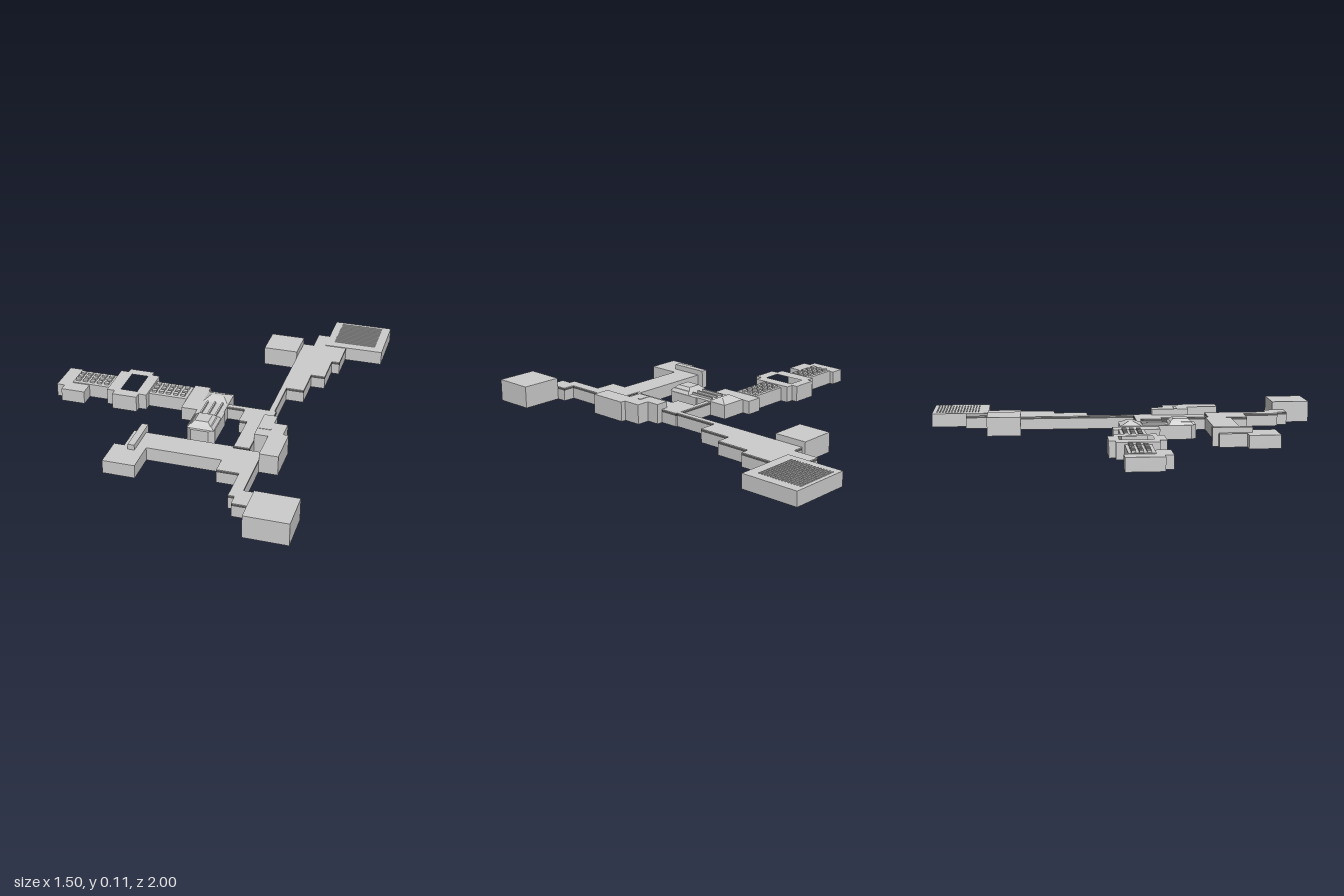
import * as THREE from 'three';

const grey = new THREE.MeshStandardMaterial({ color: 0xcccccc, flatShading: true });
const dark = new THREE.MeshStandardMaterial({ color: 0x555555, flatShading: true });

// Box given by its limits
function block(parent, name, [x0, x1, z0, z1], y1, y0 = 0, material = grey) {
  const mesh = new THREE.Mesh(new THREE.BoxGeometry(x1 - x0, y1 - y0, z1 - z0), material);
  mesh.position.set((x0 + x1) / 2, (y0 + y1) / 2, (z0 + z1) / 2);
  mesh.name = name;
  parent.add(mesh);
  return mesh;
}

// Box whose top face is drawn in by dx and dz
function taperedBlock(parent, name, limits, y1, y0, dx, dz) {
  const mesh = block(parent, name, limits, y1, y0);
  const p = mesh.geometry.attributes.position;
  for (let i = 0; i < p.count; i++) {
    if (p.getY(i) < 0) continue;
    p.setX(i, p.getX(i) - Math.sign(p.getX(i)) * dx);
    p.setZ(i, p.getZ(i) - Math.sign(p.getZ(i)) * dz);
  }
  mesh.geometry.computeVertexNormals();
}

// Plan outline in x and z, raised from y0 to y1
function slab(parent, name, outline, y1, y0 = 0, hole) {
  const toShape = (pts, Type) => new Type(pts.map(([x, z]) => new THREE.Vector2(x, -z)));
  const shape = toShape(outline, THREE.Shape);
  if (hole) shape.holes.push(toShape(hole, THREE.Path));
  const geo = new THREE.ExtrudeGeometry(shape, { depth: y1 - y0, bevelEnabled: false });
  geo.rotateX(-Math.PI / 2);
  const mesh = new THREE.Mesh(geo, grey);
  mesh.position.y = y0;
  mesh.name = name;
  parent.add(mesh);
}

// Rows of small raised panels
function panels(parent, name, [x0, x1, z0, z1], cols, rows, y1, y0, fill) {
  const w = (x1 - x0) / cols, d = (z1 - z0) / rows;
  for (let i = 0; i < cols; i++) for (let j = 0; j < rows; j++) {
    const x = x0 + i * w, z = z0 + j * d;
    block(parent, name, [x, x + w * fill, z, z + d * fill], y1, y0);
  }
}

export function createModel() {
  const model = new THREE.Group();
  const group = (name) => {
    const g = new THREE.Group();
    g.name = name;
    model.add(g);
    return g;
  };

  // Long corridor: wall, dark trim and roof cap on each step
  const corridor = group('corridor');
  [
    [0.39, 0.45, -0.82, -0.69], [0.45, 0.56, -0.705, -0.535], [0.39, 0.45, -0.69, -0.535],
    [0.335, 0.39, -0.69, -0.535], [0.335, 0.52, -0.535, -0.36], [0.335, 0.45, -0.36, -0.19],
    [0.335, 0.362, -0.19, 0.05], [0.22, 0.37, 0.05, 0.145], [0.22, 0.335, 0.145, 0.185],
    [0.26, 0.335, 0.185, 0.415], [0.24, 0.40, 0.43, 0.63], [0.345, 0.40, 0.63, 0.81],
    [0.40, 0.46, 0.755, 0.865], [0.375, 0.40, 0.81, 0.865], [0.13, 0.22, 0.05, 0.075],
  ].forEach((b) => {
    block(corridor, 'corridorWall', b, 0.054);
    block(corridor, 'corridorTrim', b, 0.064, 0.054, dark);
    block(corridor, 'corridorRoof', b, 0.067, 0.064);
  });

  // Back hall with close rows on its roof
  const hall = group('backHall');
  block(hall, 'hallBase', [0.45, 0.75, -1, -0.705], 0.07);
  for (let i = 0; i < 15; i++) {
    const z = -0.98 + i * 0.0155;
    block(hall, 'hallRow', [0.49, 0.705, z, z + 0.006], 0.073, 0.07);
  }

  // Free-standing rooms
  block(model, 'sideRoom', [0.16, 0.333, -0.705, -0.535], 0.095);
  block(model, 'frontRoom', [0.46, 0.665, 0.805, 1], 0.11);

  // Tall rooms on the right of the crossing
  const tall = group('tallRooms');
  block(tall, 'innerRoom', [0.335, 0.40, 0.145, 0.335], 0.098);
  block(tall, 'innerRoomRidge', [0.335, 0.40, 0.262, 0.278], 0.1, 0.098);
  block(tall, 'outerRoomBack', [0.40, 0.465, 0.21, 0.30], 0.098);
  block(tall, 'outerRoomFront', [0.40, 0.49, 0.30, 0.495], 0.098);

  // Front arm with its end room and upright fin
  const arm = group('frontArm');
  block(arm, 'armPassage', [-0.225, 0.26, 0.415, 0.545], 0.066);
  block(arm, 'armStep', [-0.225, -0.12, 0.545, 0.555], 0.066);
  block(arm, 'armEnd', [-0.275, -0.12, 0.55, 0.705], 0.066);
  block(arm, 'armFin', [-0.197, -0.165, 0.385, 0.58], 0.092);

  // Side wing, from its far end towards the crossing
  const wing = group('sideWing');
  block(wing, 'wingEnd', [-0.75, -0.68, -0.08, 0.10], 0.066);
  block(wing, 'wingEndBay', [-0.71, -0.59, 0.065, 0.14], 0.066);
  block(wing, 'wingOuter', [-0.68, -0.48, -0.06, 0.065], 0.07);
  block(wing, 'wingInner', [-0.275, -0.08, -0.06, 0.065], 0.07);
  panels(wing, 'roofPanel', [-0.67, -0.48, -0.045, 0.06], 5, 3, 0.08, 0.07, 0.6);
  panels(wing, 'roofPanel', [-0.265, -0.08, -0.045, 0.06], 5, 3, 0.08, 0.07, 0.6);
  slab(wing, 'courtyardRing', [
    [-0.48, -0.10], [-0.44, -0.10], [-0.44, -0.13], [-0.315, -0.13], [-0.315, -0.10], [-0.275, -0.10],
    [-0.275, 0.105], [-0.315, 0.105], [-0.315, 0.14], [-0.44, 0.14], [-0.44, 0.105], [-0.48, 0.105],
  ], 0.081, 0, [[-0.415, -0.08], [-0.33, -0.08], [-0.33, 0.083], [-0.415, 0.083]]);
  block(wing, 'wingCross', [-0.08, 0, -0.085, 0.145], 0.067);

  // Pavilion with a chamfered nose and stepped roof
  const pavilion = group('pavilion');
  const plan = (f) => [[0, -0.045], [0.132, -0.045], [0.132, 0.14], [0.138, 0.14], [0.138, f - 0.025],
    [0.112, f], [0.026, f], [0, f - 0.025]];
  slab(pavilion, 'pavilionBase', plan(0.335), 0.07);
  taperedBlock(pavilion, 'pavilionRoof', [0.004, 0.128, -0.04, 0.06], 0.09, 0.07, 0.03, 0.04);
  for (const x of [0.03, 0.067, 0.104]) {
    block(pavilion, 'roofRib', [x - 0.004, x + 0.004, 0.065, 0.195], 0.08, 0.07);
  }
  taperedBlock(pavilion, 'noseRoof', [0.004, 0.134, 0.195, 0.322], 0.085, 0.07, 0.012, 0.012);
  taperedBlock(pavilion, 'noseCap', [0.02, 0.116, 0.205, 0.31], 0.099, 0.085, 0.015, 0.015);

  return model;
}
